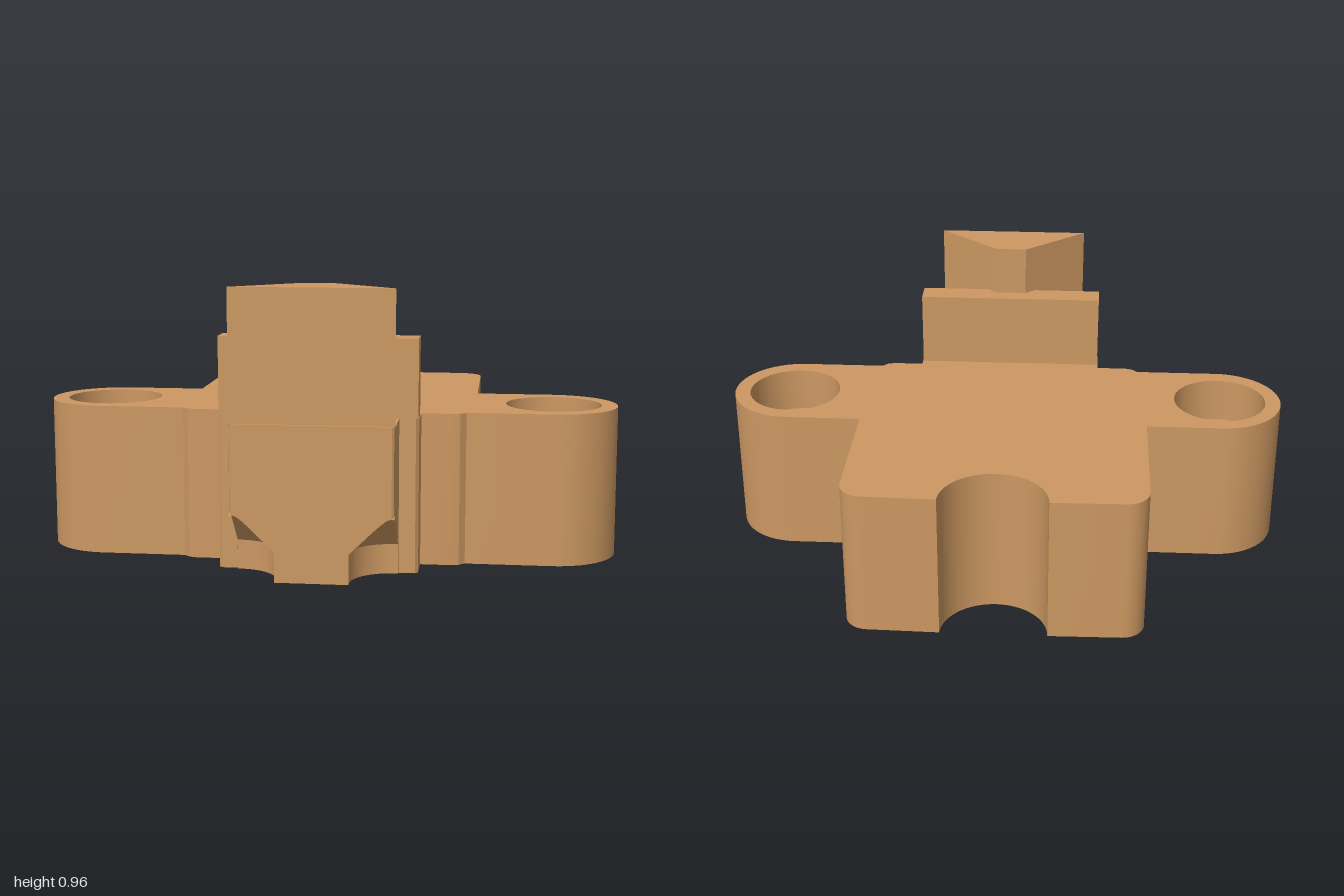
import * as THREE from 'three';
import { toCreasedNormals } from 'three/addons/utils/BufferGeometryUtils.js';

const H = 0.52;                              // body height
const PITCH = 0.26;                          // half spacing of the hole grid
const R = 0.14;                              // hole radius
const CUT = { x: 0.26, z: 0.63, y: 0.1 };    // corner pocket centre and shoulder height

// Arc points [x, z] around a centre
function arc(cx, cz, r, a0, a1, n = 16) {
  return Array.from({ length: n + 1 }, (_, i) => {
    const a = a0 + (a1 - a0) * i / n;
    return [cx + r * Math.cos(a), cz + r * Math.sin(a)];
  });
}

function line(x0, z0, x1, z1, n) {
  return Array.from({ length: n + 1 }, (_, i) => [x0 + (x1 - x0) * i / n, z0 + (z1 - z0) * i / n]);
}

const circle = (cx, cz, r) => arc(cx, cz, r, 0, Math.PI * 2, 40).slice(0, -1);

// Closes a +x half outline by mirroring it
function mirrorLoop(half) {
  const back = half.filter(p => p[0] > 1e-5).reverse().map(([x, z]) => [-x, z]);
  return [...half, ...back];
}

function fromTriangles(pos) {
  const g = new THREE.BufferGeometry();
  g.setAttribute('position', new THREE.Float32BufferAttribute(pos, 3));
  return toCreasedNormals(g, 0.5);
}

// Upright wall along a loop; the lower edge may vary
function wall(loop, bottom, top, closed = true) {
  const pos = [];
  for (let i = 0; i < loop.length - (closed ? 0 : 1); i++) {
    const a = loop[i], b = loop[(i + 1) % loop.length];
    const a0 = [a[0], bottom(a), a[1]], b0 = [b[0], bottom(b), b[1]];
    const a1 = [a[0], top, a[1]], b1 = [b[0], top, b[1]];
    pos.push(...a0, ...b0, ...b1, ...a0, ...b1, ...a1);
  }
  return fromTriangles(pos);
}

// Flat face at height y with holes, facing up or down
function cap(loop, holes, y, up) {
  const s = up ? -1 : 1;
  const vec = l => l.map(([x, z]) => new THREE.Vector2(x, s * z));
  const shape = new THREE.Shape(vec(loop));
  shape.holes = holes.map(h => new THREE.Path(vec(h)));
  return new THREE.ShapeGeometry(shape).rotateX(s * Math.PI / 2).translate(0, y, 0);
}

// Inside surface of a round hole, listed from the top down
function bore(profile, x, z) {
  const g = new THREE.LatheGeometry(profile.map(p => new THREE.Vector2(...p)), 40);
  return toCreasedNormals(g.toNonIndexed(), 0.5).translate(x, 0, z);
}

// Cone roof of the front corner pocket, clipped to the block
function pocketRoof() {
  const pos = [], n = 96;
  const rim = i => {
    const a = i / n * Math.PI * 2, c = Math.cos(a), s = Math.sin(a);
    const d = Math.min(R, c > 1e-6 ? 0.01 / c : R, s > 1e-6 ? 0.02 / s : R);
    return [CUT.x + d * c, CUT.y + R - d, CUT.z + d * s];
  };
  for (let i = 0; i < n; i++) pos.push(CUT.x, CUT.y + R, CUT.z, ...rim(i), ...rim(i + 1));
  return fromTriangles(pos);
}

export function createModel() {
  const group = new THREE.Group();
  const tan = new THREE.MeshStandardMaterial({ color: 0xcc9862, side: THREE.DoubleSide });
  tan.name = 'tan';
  const add = (name, geometry, parent = group) => {
    const m = new THREE.Mesh(geometry, tan);
    m.name = name;
    parent.add(m);
    return m;
  };
  const PI = Math.PI;

  // Half outline behind the front block: shoulder, ear, rear slab, notch
  const rest = [
    [0.27, 0.48], [0.325, 0.48], [0.335, 0.47], [0.335, 0.362],
    [0.44, 0.362], [0.465, 0.355], [0.485, 0.335],
    ...arc(0.777, 0.112, 0.223, PI / 2, -PI / 2, 28),
    [0.51, -0.111],
    ...arc(0.43, -0.577, 0.08, 0, -PI / 2, 10),
    ...arc(0, -0.665, 0.183, 0.02, PI / 2, 16),
  ];
  const block = [
    [0.1214, 0.65], ...line(0.1224, 0.65, 0.26, 0.65, 14),
    [0.267, 0.645], ...line(0.27, 0.635, 0.27, 0.4914, 14), [0.27, 0.4904],
  ];
  const cutArc = arc(CUT.x, CUT.z, R, PI - 0.1433, 1.5 * PI + 0.0715, 16);
  const outline = mirrorLoop([...block, ...rest]);
  const footprint = mirrorLoop([...cutArc, ...rest]);

  // Lower wall edge rises over the corner pockets
  const lowerEdge = ([x, z]) => {
    const d = Math.hypot(Math.abs(x) - CUT.x, z - CUT.z);
    return d < R - 2e-4 ? CUT.y + R - d : 0;
  };

  // Hole positions
  const ears = [-1, 1].map(s => [s * 3 * PITCH, 0.11]);
  const sockets = [];
  for (const x of [-PITCH, PITCH]) for (const z of [-0.41, 0.11]) sockets.push([x, z]);

  // Main body shell
  const body = new THREE.Group();
  body.name = 'body';
  group.add(body);
  add('bodySide', wall(outline, lowerEdge, H), body);
  add('bodyTop', cap(outline, ears.map(([x, z]) => circle(x, z, 0.165)), H, true), body);
  add('bodyUnderside', cap(footprint,
    [...ears, ...sockets].map(([x, z]) => circle(x, z, 0.162)), 0, false), body);

  // Blind sockets with a chamfered mouth and a cone end
  for (const [x, z] of sockets)
    add('socket', bore([[0, CUT.y + R], [R, CUT.y], [R, 0.02], [0.162, 0]], x, z));

  // Ear holes: round bore above, flat-sided passage, chamfered mouth below
  for (const [x, z] of ears) {
    const slot = circle(0, 0, 0.147).map(([px, pz]) =>
      [x + px, z + Math.max(-0.11, Math.min(0.11, pz))]);
    const inward = slot.slice().reverse();
    add('earBore', bore([[0.165, H], [0.165, 0.36]], x, z));
    add('earLedge', cap(circle(x, z, 0.165), [slot], 0.36, true));
    add('earPassage', wall(inward, () => 0.03, 0.36));
    add('earLowerLedge', cap(circle(x, z, 0.15), [slot], 0.03, false));
    add('earMouth', bore([[0.15, 0.03], [0.15, 0.02], [0.162, 0]], x, z));
  }

  // Quarter pockets under the front corners
  for (const s of [-1, 1]) {
    const pocket = new THREE.Group();
    pocket.name = s > 0 ? 'leftPocket' : 'rightPocket';
    pocket.scale.x = s;
    add('pocketRoof', pocketRoof(), pocket);
    add('pocketWall', wall(cutArc, () => 0, CUT.y, false), pocket);
    group.add(pocket);
  }

  // Upright plate
  add('uprightPlate', new THREE.BoxGeometry(0.665, 0.785 - H, 0.09)
    .translate(0, (0.785 + H) / 2, 0.435));

  // Tapered post in front of the plate
  const post = mirrorLoop([[0.27, 0.64], [0.055, 0.45]]);
  const postGroup = new THREE.Group();
  postGroup.name = 'taperedPost';
  add('postSide', wall(post, () => H, 0.96), postGroup);
  add('postTop', cap(post, [], 0.96, true), postGroup);
  group.add(postGroup);

  return group;
}
